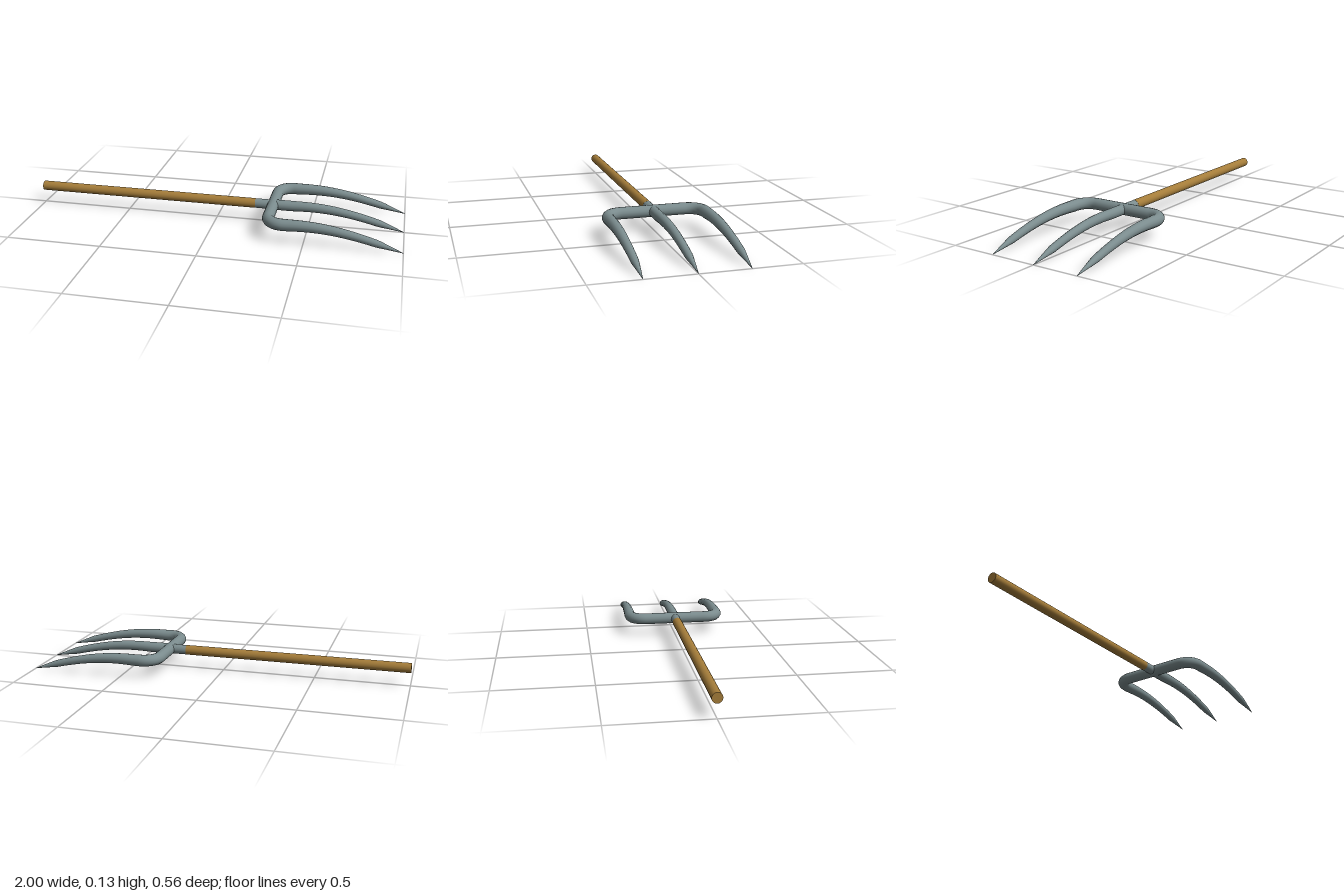
import * as THREE from 'three';

const Y = 0.098;
const v = (x, y, z) => new THREE.Vector3(x, y, z);

// Radius along a tine: slow taper, then a sharp point
function tineRadius(x, base) {
  if (x > 0.87) return THREE.MathUtils.lerp(0.019, 0.0008, (x - 0.87) / 0.13);
  return THREE.MathUtils.lerp(base, 0.019, THREE.MathUtils.clamp((x - 0.4) / 0.47, 0, 1));
}

// Round tube whose rings are scaled to the tine radius
function taperedTube(curve, segments, base) {
  const sides = 14;
  const geo = new THREE.TubeGeometry(curve, segments, 1, sides, false);
  const pos = geo.attributes.position;
  const p = v(0, 0, 0);
  for (let i = 0; i <= segments; i++) {
    const c = curve.getPointAt(i / segments);
    const r = tineRadius(c.x, base);
    for (let j = 0; j <= sides; j++) {
      const k = i * (sides + 1) + j;
      p.fromBufferAttribute(pos, k).sub(c).multiplyScalar(r).add(c);
      pos.setXYZ(k, p.x, p.y, p.z);
    }
  }
  return geo;
}

// Downward sweep shared by all three tines
function tineSweep(z) {
  return new THREE.CubicBezierCurve3(v(0.42, Y, z), v(0.62, 0.106, z), v(0.76, 0.075, z), v(1, 0.002, z));
}

// Horizontal rod along x
function rod(name, x0, x1, r, material) {
  const mesh = new THREE.Mesh(new THREE.CylinderGeometry(r, r, x1 - x0, 20), material);
  mesh.name = name;
  mesh.rotation.z = -Math.PI / 2;
  mesh.position.set((x0 + x1) / 2, Y, 0);
  return mesh;
}

export function createModel() {
  const wood = new THREE.MeshStandardMaterial({ name: 'wood', color: 0xa57d3a });
  const steel = new THREE.MeshStandardMaterial({ name: 'steel', color: 0x7b8c8e });
  const group = new THREE.Group();
  group.name = 'pitchfork';

  // Shaft and its metal socket
  group.add(rod('handle', -1, 0.21, 0.026, wood));
  group.add(rod('socket', 0.21, 0.31, 0.0255, steel));

  // Centre tine
  const centre = new THREE.CurvePath();
  centre.add(new THREE.LineCurve3(v(0.3, Y, 0), v(0.42, Y, 0)));
  centre.add(tineSweep(0));
  const centreTine = new THREE.Mesh(taperedTube(centre, 50, 0.028), steel);
  centreTine.name = 'centreTine';
  group.add(centreTine);

  // Half crossbar bending into an outer tine, one per side
  for (const s of [1, -1]) {
    const z = s * 0.252, x = 0.306, k = 0.035;
    const path = new THREE.CurvePath();
    path.add(new THREE.LineCurve3(v(x, Y, 0), v(x, Y, s * 0.167)));
    path.add(new THREE.CubicBezierCurve3(v(x, Y, s * 0.167), v(x, Y, z - s * k), v(x + k, Y, z), v(0.391, Y, z)));
    path.add(new THREE.LineCurve3(v(0.391, Y, z), v(0.42, Y, z)));
    path.add(tineSweep(z));
    const tine = new THREE.Mesh(taperedTube(path, 80, 0.031), steel);
    tine.name = s > 0 ? 'frontTine' : 'backTine';
    group.add(tine);
  }
  return group;
}
